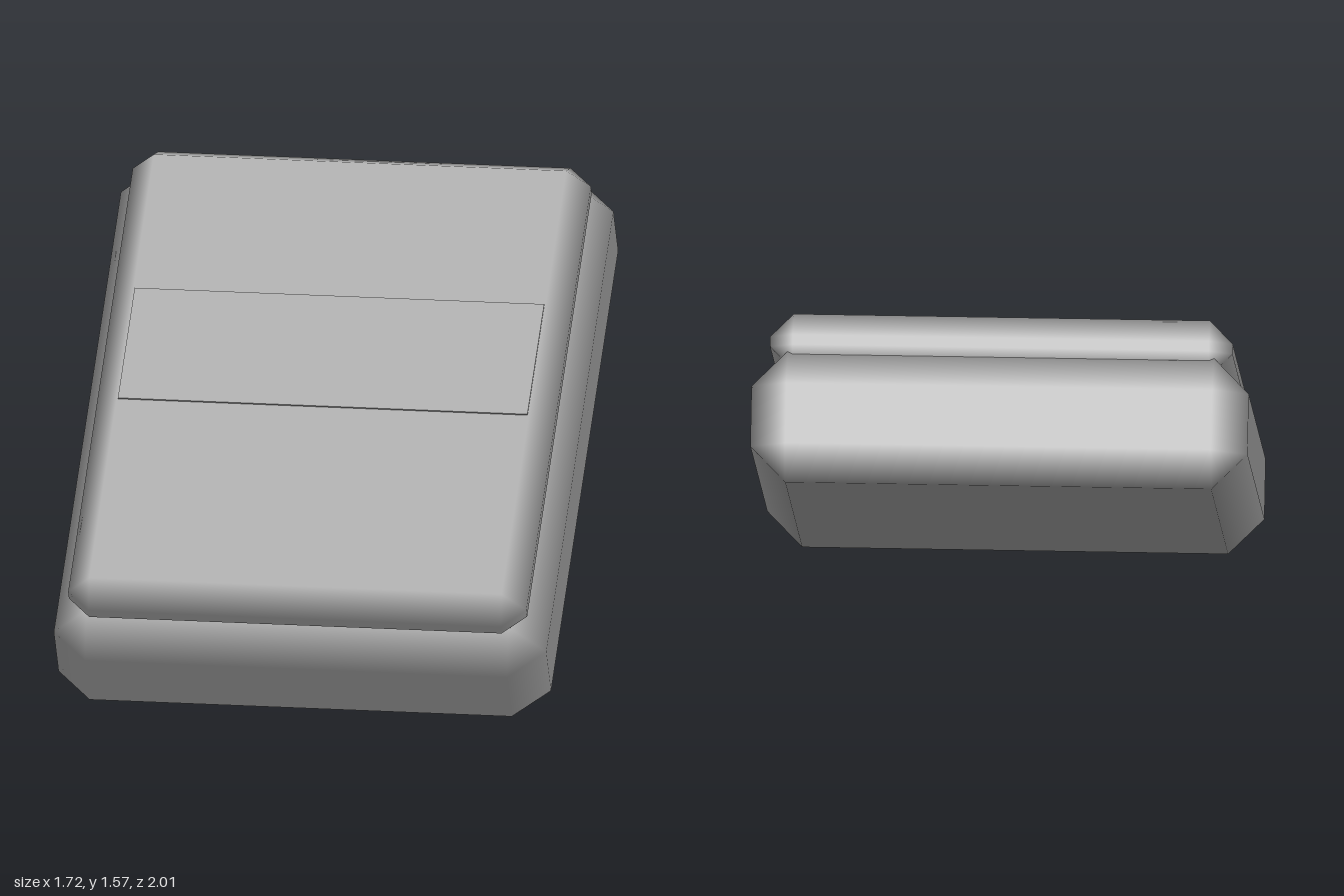
import * as THREE from 'three';
import { ConvexGeometry } from 'three/addons/geometries/ConvexGeometry.js';

// Box with one bevel strip along every edge; flats stay flat, bevels shade smoothly
function bevelledBox(w, h, d, bevel) {
  const half = [w / 2, h / 2, d / 2];
  const points = [];
  for (const sx of [-1, 1]) for (const sy of [-1, 1]) for (const sz of [-1, 1]) {
    for (let axis = 0; axis < 3; axis++) {
      const c = [sx, sy, sz].map((s, i) => s * (i === axis ? half[i] : half[i] - bevel));
      points.push(new THREE.Vector3(...c));
    }
  }
  const geometry = new ConvexGeometry(points);
  const pos = geometry.attributes.position;
  const normal = geometry.attributes.normal;
  for (let i = 0; i < pos.count; i++) {
    // each corner takes the normal of the flat side it lies on
    const n = [pos.getX(i), pos.getY(i), pos.getZ(i)].map((v, k) =>
      Math.abs(Math.abs(v) - half[k]) < 1e-4 ? Math.sign(v) : 0);
    normal.setXYZ(i, ...n);
  }
  return geometry;
}

export function createModel() {
  const model = new THREE.Group();
  model.name = 'tiltedPad';
  const grey = new THREE.MeshStandardMaterial({ color: 0xa6a6a6 });
  grey.name = 'grey';

  // Everything is built level, then tipped so the back end rises
  const slab = new THREE.Group();
  slab.name = 'slab';
  slab.rotation.x = THREE.MathUtils.degToRad(33.8);
  model.add(slab);

  const add = (name, geometry, y, z) => {
    const mesh = new THREE.Mesh(geometry, grey);
    mesh.name = name;
    mesh.position.set(0, y, z);
    slab.add(mesh);
  };

  // Thick lower body
  add('body', bevelledBox(1.72, 0.456, 2.233, 0.123), 0.608, -0.429);
  // Thinner cover on top
  add('cover', bevelledBox(1.6, 0.195, 2.072, 0.08), 0.873, -0.427);
  // Thin raised plate across the cover
  add('plate', new THREE.BoxGeometry(1.43, 0.008, 0.497), 0.972, -0.528);

  return model;
}
